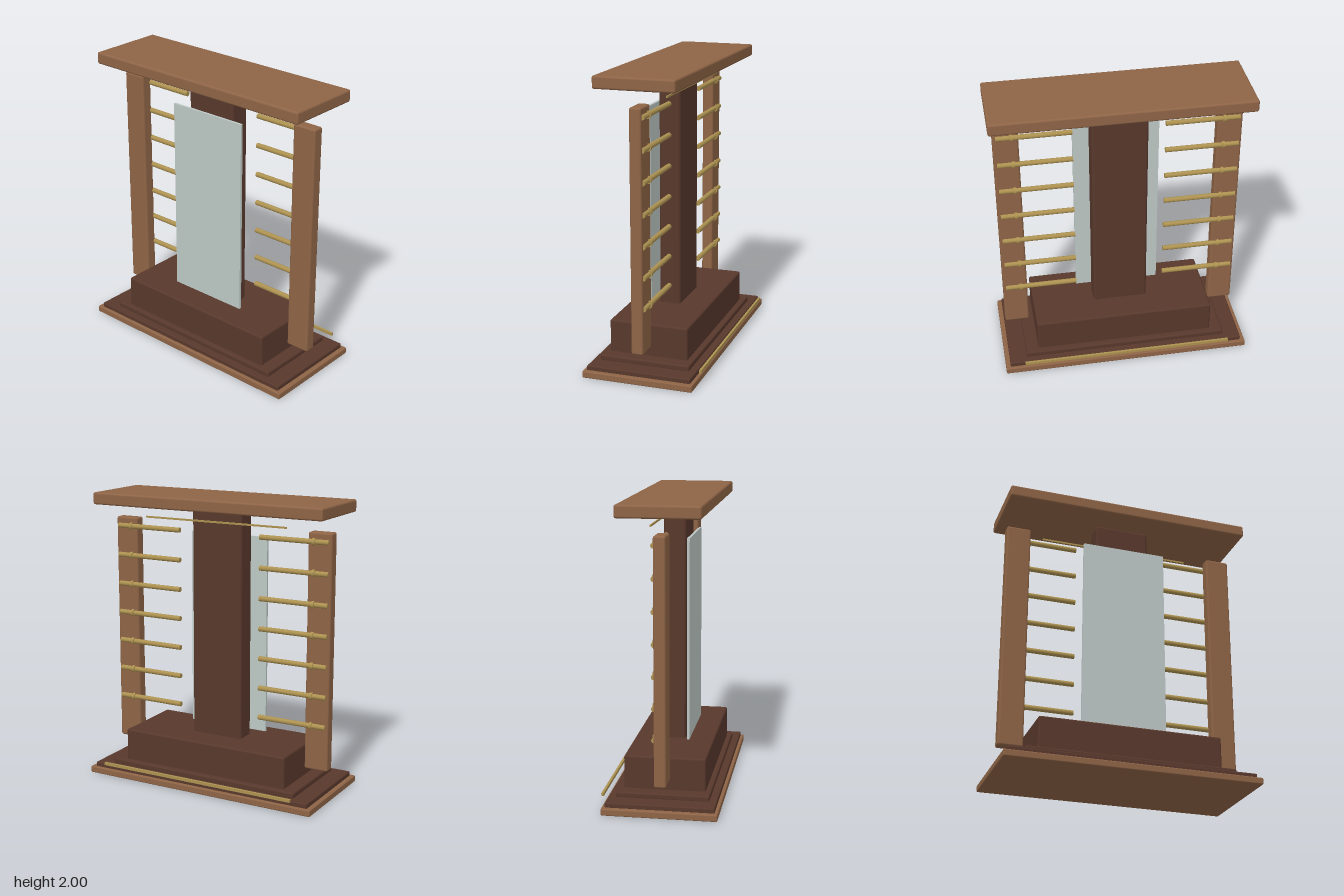
import * as THREE from 'three';
import { RoundedBoxGeometry } from 'three/addons/geometries/RoundedBoxGeometry.js';

const mat = (name, color) => {
  const m = new THREE.MeshStandardMaterial({ color });
  m.name = name;
  return m;
};

export function createModel() {
  const root = new THREE.Group();
  root.name = 'displayStand';
  const wood = mat('lightWood', 0x8e6446);
  const dark = mat('darkWood', 0x58382c);
  const brass = mat('brass', 0xac9150);
  const glass = mat('paleGlass', 0xbdc8c5);

  // Box given by its limits on each axis; bevel 0 gives sharp edges
  const box = (name, material, [x0, x1], [y0, y1], [z0, z1], bevel = 0) => {
    const size = [x1 - x0, y1 - y0, z1 - z0];
    const geo = bevel ? new RoundedBoxGeometry(...size, 3, bevel) : new THREE.BoxGeometry(...size);
    const mesh = new THREE.Mesh(geo, material);
    mesh.name = name;
    mesh.position.set((x0 + x1) / 2, (y0 + y1) / 2, (z0 + z1) / 2);
    root.add(mesh);
  };

  // Stepped base and plinth
  box('baseBoard', wood, [-0.865, 0.865], [0, 0.046], [-0.37, 0.387], 0.008);
  box('lowerStep', dark, [-0.833, 0.833], [0.04, 0.077], [-0.348, 0.365], 0.008);
  box('upperStep', dark, [-0.712, 0.712], [0.07, 0.112], [-0.3, 0.317], 0.012);
  box('plinth', dark, [-0.623, 0.623], [0.1, 0.333], [-0.26, 0.282], 0.014);

  // Central column, front panel and top board
  box('column', dark, [-0.19, 0.19], [0.31, 1.915], [-0.063, 0.086], 0.02);
  box('frontPanel', glass, [-0.295, 0.295], [0.357, 1.727], [0.109, 0.126]);
  box('topBoard', wood, [-0.865, 0.865], [1.917, 2], [-0.262, 0.28], 0.014);

  // Thin brass strips at the back
  box('lowerStrip', brass, [-0.73, 0.73], [0.083, 0.103], [-0.391, -0.375]);
  box('upperStrip', brass, [-0.538, 0.538], [1.828, 1.84], [-0.097, -0.088]);

  // Side posts with brass pegs and collars
  const pegGeo = new THREE.CylinderGeometry(0.0175, 0.0175, 0.5, 16).rotateZ(Math.PI / 2);
  const collarGeo = new THREE.CylinderGeometry(0.025, 0.025, 0.02, 16).rotateZ(Math.PI / 2);
  for (const s of [-1, 1]) {
    const side = s > 0 ? 'left' : 'right';
    box(side + 'Post', wood, [s * 0.745 - 0.085, s * 0.745 + 0.085], [0.193, 1.81], [-0.027, 0.053], 0.014);
    for (let i = 0; i < 7; i++) {
      const y = 0.503 + i * 0.2075;
      const peg = new THREE.Mesh(pegGeo, brass);
      peg.name = side + 'Peg';
      peg.position.set(s * 0.56, y, -0.027);
      const collar = new THREE.Mesh(collarGeo, brass);
      collar.name = side + 'PegCollar';
      collar.position.set(s * 0.705, y, -0.027);
      root.add(peg, collar);
    }
  }
  return root;
}
